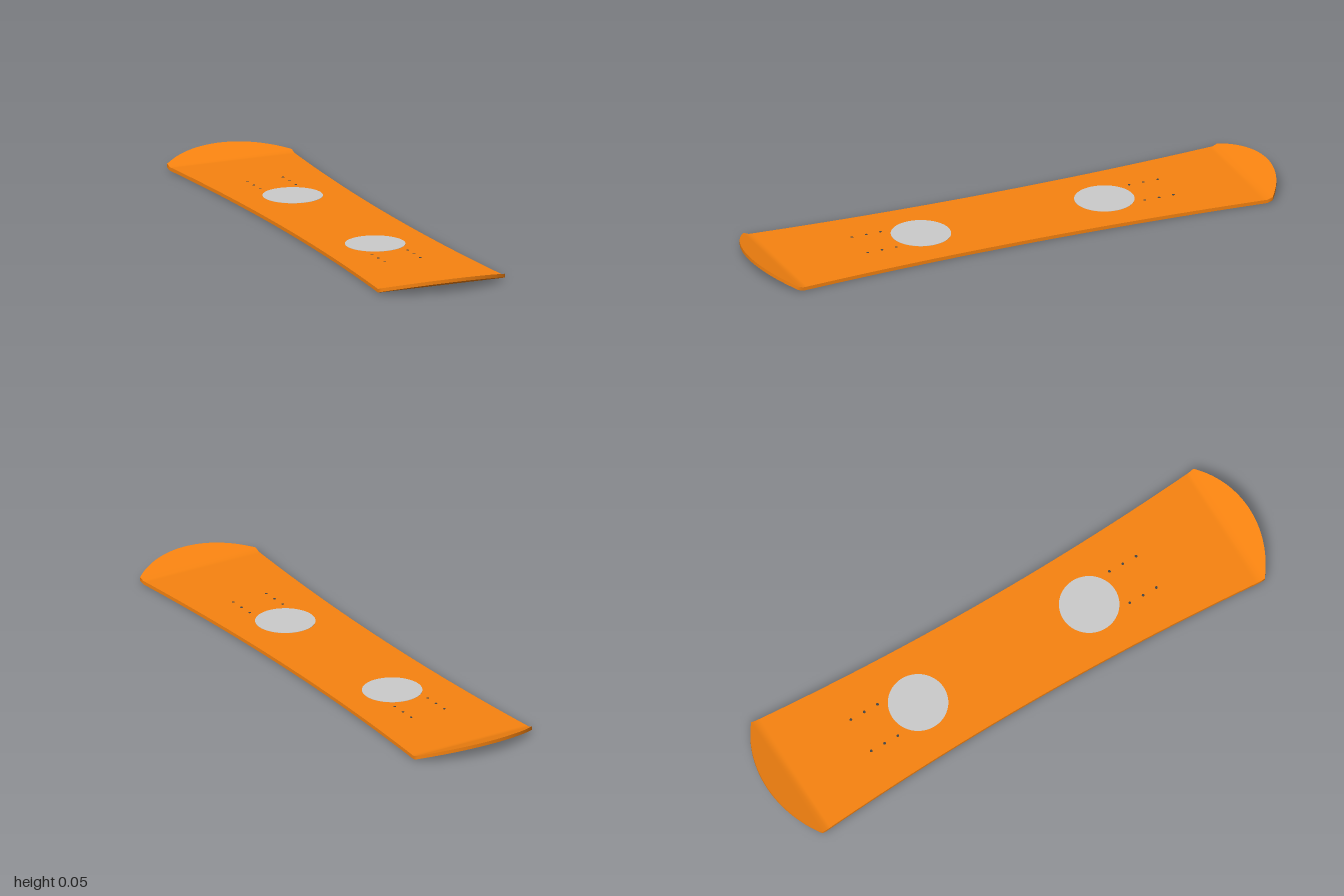
import * as THREE from 'three';

const THICK = 0.013, CORNER_Z = 0.915, CORNER_X = 0.242, WAIST_X = 0.204;
const BEND_Z = 0.895, RISE = 0.037, TIP_R = 0.387;

// Outline of one half of the board as [z, half width], from waist to tip
function halfOutline() {
  const rows = [];
  const side = z => [z, WAIST_X + (CORNER_X - WAIST_X) * (z / CORNER_Z) ** 2];
  for (let i = 0; i <= 24; i++) rows.push(side(0.88 * i / 24));
  rows.push(side(BEND_Z), side(CORNER_Z));
  const a0 = Math.asin(CORNER_X / TIP_R);
  for (let i = 1; i <= 20; i++) {
    const a = a0 * (1 - i / 20);
    rows.push([1 - TIP_R + TIP_R * Math.cos(a), TIP_R * Math.sin(a)]);
  }
  return rows;
}

// A box with many slices, each slice moved to the outline and lifted at the tips
function boardGeometry() {
  const half = halfOutline();
  const n = half.length - 1;
  const geo = new THREE.BoxGeometry(2, THICK, 2, 1, 1, 2 * n);
  const pos = geo.attributes.position;
  for (let i = 0; i < pos.count; i++) {
    const row = Math.round(pos.getZ(i) * n);
    const [z, w] = half[Math.abs(row)];
    const lift = RISE * Math.max(0, (z - BEND_Z) / (1 - BEND_Z));
    pos.setXYZ(i, Math.sign(pos.getX(i)) * w, pos.getY(i) + THICK / 2 + lift, Math.sign(row) * z);
  }
  geo.computeVertexNormals();
  return geo;
}

export function createModel() {
  const model = new THREE.Group();
  const orange = new THREE.MeshStandardMaterial({ color: 0xf78310 });
  const grey = new THREE.MeshStandardMaterial({ color: 0xcccccc });
  const dark = new THREE.MeshStandardMaterial({ color: 0x444444 });

  const add = (name, geo, mat, x, y, z) => {
    const mesh = new THREE.Mesh(geo, mat);
    mesh.name = name;
    mesh.position.set(x, y, z);
    model.add(mesh);
  };

  add('deck', boardGeometry(), orange, 0, 0, 0);

  // Binding discs and the two rows of screw holes beyond each
  const disc = new THREE.CylinderGeometry(0.107, 0.107, 0.002, 64);
  const hole = new THREE.CylinderGeometry(0.005, 0.005, 0.001, 12);
  for (const s of [-1, 1]) {
    const at = d => s * d - 0.018;
    add('bindingDisc', disc, grey, 0, THICK, at(0.354));
    for (const x of [-0.069, 0.069])
      for (const d of [0.48, 0.535, 0.59])
        add('screwHole', hole, dark, x, THICK, at(d));
  }
  return model;
}
